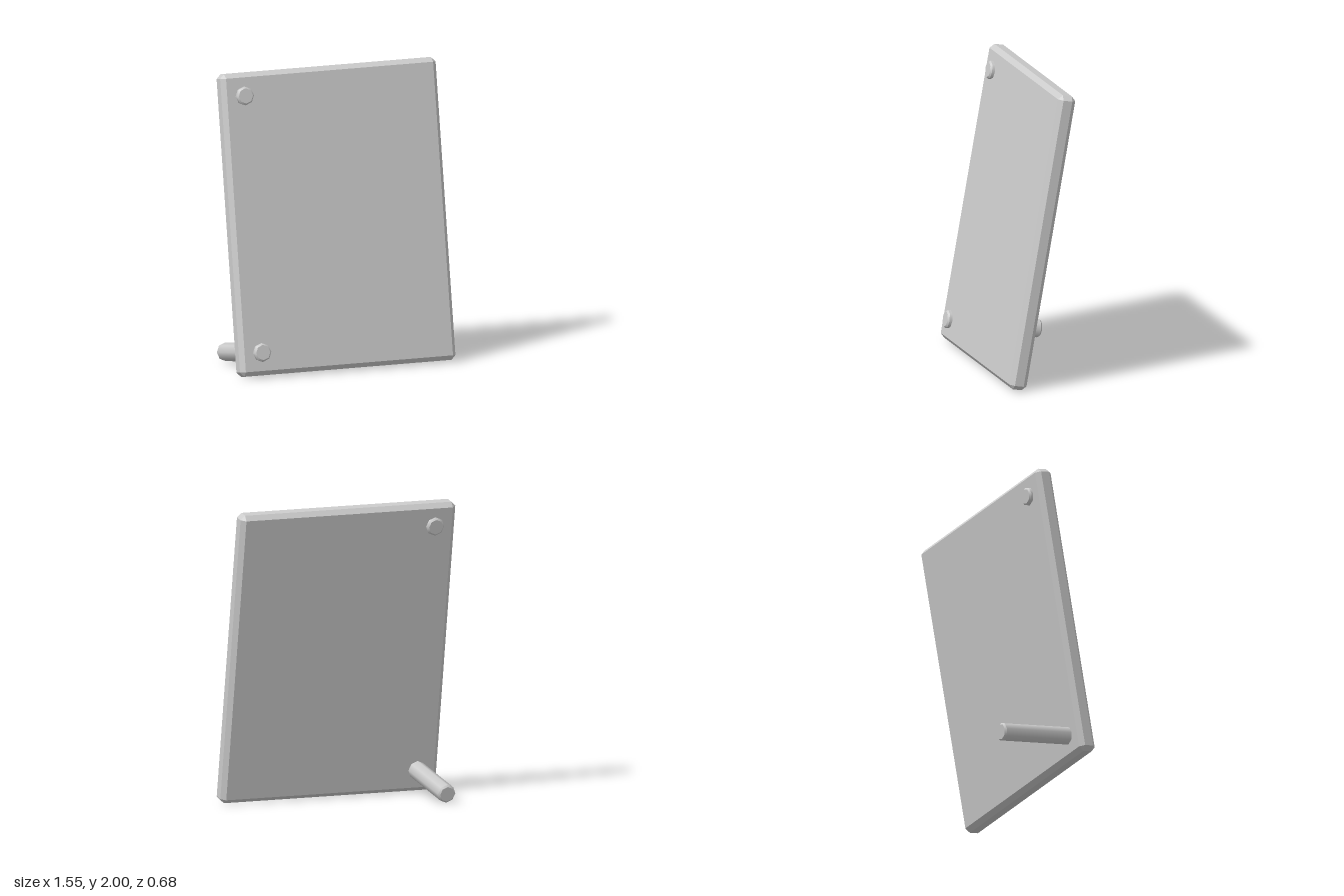
import * as THREE from 'three';
import { ConvexGeometry } from 'three/addons/geometries/ConvexGeometry.js';

const grey = new THREE.MeshStandardMaterial({ color: 0xcccccc });
grey.name = 'light grey';

// Box with every edge and corner cut flat
function chamferedBox(w, h, d, c) {
  const points = [];
  const [x, y, z] = [w / 2, h / 2, d / 2];
  for (const sx of [-1, 1]) for (const sy of [-1, 1]) for (const sz of [-1, 1]) {
    points.push(
      new THREE.Vector3(sx * x, sy * (y - c), sz * (z - c)),
      new THREE.Vector3(sx * (x - c), sy * y, sz * (z - c)),
      new THREE.Vector3(sx * (x - c), sy * (y - c), sz * z)
    );
  }
  return new ConvexGeometry(points);
}

// Eight-sided pin along z, with a chamfer at both ends
function makePin(name, back, front) {
  const radius = 0.062, chamfer = 0.011, sides = 8;
  const pin = new THREE.Group();
  pin.name = name;
  const add = (part, rFront, rBack, z0, z1) => {
    const geometry = new THREE.CylinderGeometry(rFront, rBack, z1 - z0, sides, 1, true);
    geometry.rotateX(Math.PI / 2);
    const mesh = new THREE.Mesh(geometry, grey);
    mesh.name = part;
    mesh.position.z = (z0 + z1) / 2;
    pin.add(mesh);
  };
  add('shaft', radius, radius, back + chamfer, front - chamfer);
  add('frontChamfer', radius - chamfer, radius, front - chamfer, front);
  add('backChamfer', radius, radius - chamfer, back, back + chamfer);
  for (const [part, z, turn] of [['frontCap', front, 0], ['backCap', back, Math.PI]]) {
    const cap = new THREE.Mesh(new THREE.CircleGeometry(radius - chamfer, sides), grey);
    cap.name = part;
    cap.position.z = z;
    cap.rotation.y = turn;
    pin.add(cap);
  }
  return pin;
}

export function createModel() {
  const model = new THREE.Group();
  model.name = 'leaningPanel';

  // Everything shares the backward lean of the panel
  const leaning = new THREE.Group();
  leaning.name = 'leaningAssembly';
  leaning.position.set(0, 1.004, 0.0925);
  leaning.rotation.x = -THREE.MathUtils.degToRad(10);
  model.add(leaning);

  const panel = new THREE.Mesh(chamferedBox(1.55, 2.012, 0.122, 0.03), grey);
  panel.name = 'panel';
  leaning.add(panel);

  // Short pin at the top, long supporting leg at the bottom
  const upperPin = makePin('upperPin', -0.086, 0.091);
  upperPin.position.set(-0.623, 0.853, 0);
  const lowerLeg = makePin('lowerLeg', -0.577, 0.091);
  lowerLeg.position.set(-0.623, -0.853, 0);
  leaning.add(upperPin, lowerLeg);

  return model;
}
